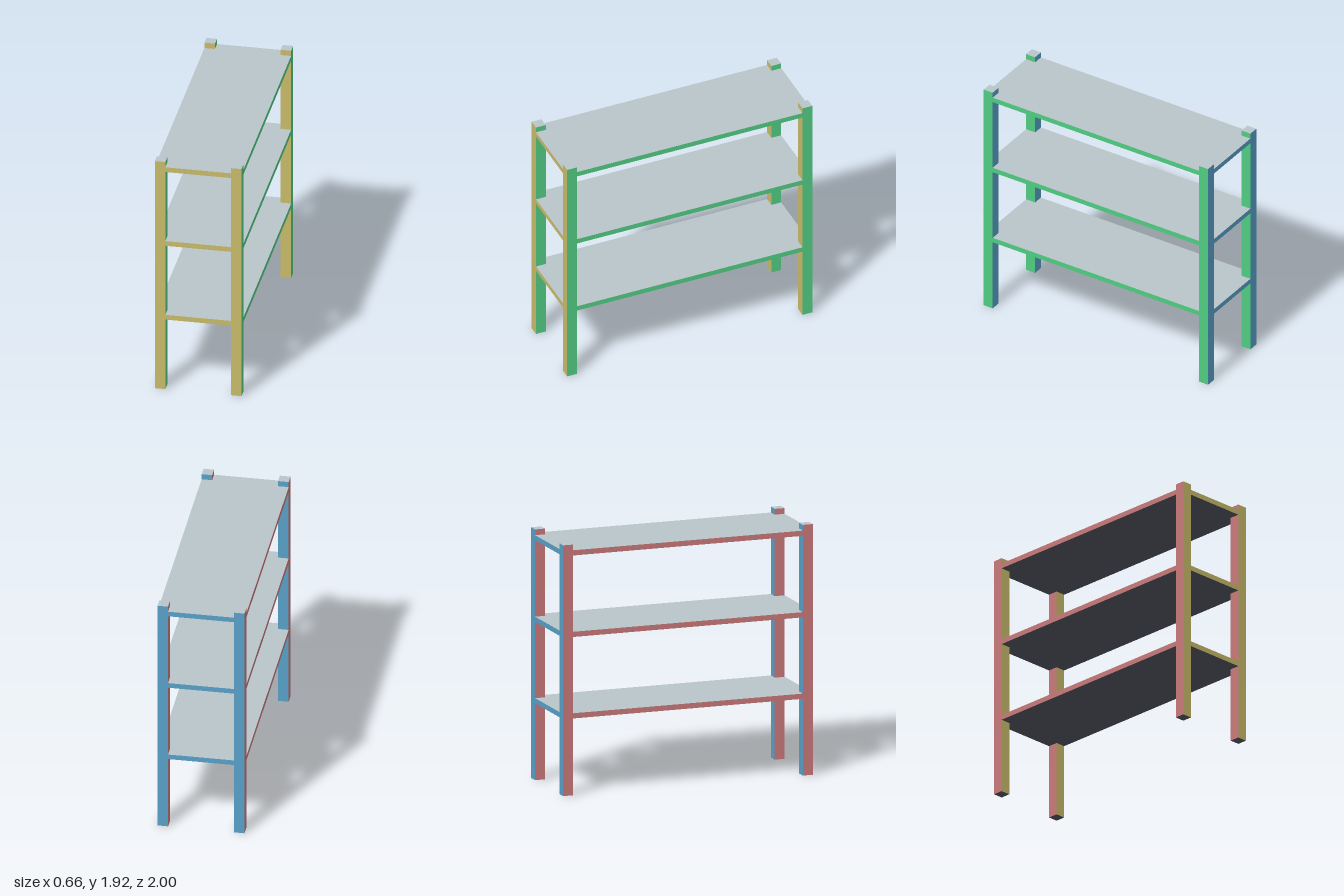
import * as THREE from 'three';

const paint = (name, color) => {
  const m = new THREE.MeshStandardMaterial({ color });
  m.name = name;
  return m;
};

export function createModel() {
  const group = new THREE.Group();
  group.name = 'shelvingRack';

  // One colour per facing direction, in box group order: +x, -x, +y, -y, +z, -z
  const faces = [
    paint('green', 0x50cc82),
    paint('dustyRed', 0xc87878),
    paint('paleGrey', 0xb9c4ca),
    paint('darkSlate', 0x50535f),
    paint('sandYellow', 0xc8ba6a),
    paint('skyBlue', 0x58a0c8),
  ];

  const addBox = (name, w, h, d, x, y, z) => {
    const mesh = new THREE.Mesh(new THREE.BoxGeometry(w, h, d), faces);
    mesh.name = name;
    mesh.position.set(x, y, z);
    group.add(mesh);
  };

  const width = 0.66, depth = 2, height = 1.92, post = 0.08;

  // Corner posts
  for (const sx of [-1, 1]) {
    for (const sz of [-1, 1]) {
      const name = (sz > 0 ? 'front' : 'back') + (sx > 0 ? 'Left' : 'Right') + 'Post';
      addBox(name, post, height, post,
        sx * (width - post) / 2, height / 2, sz * (depth - post) / 2);
    }
  }

  // Shelves, flush with the outer faces of the posts
  const shelves = { lowerShelf: 0.608, middleShelf: 1.232, topShelf: 1.856 };
  for (const [name, y] of Object.entries(shelves)) {
    addBox(name, width, 0.04, depth, 0, y, 0);
  }

  return group;
}
